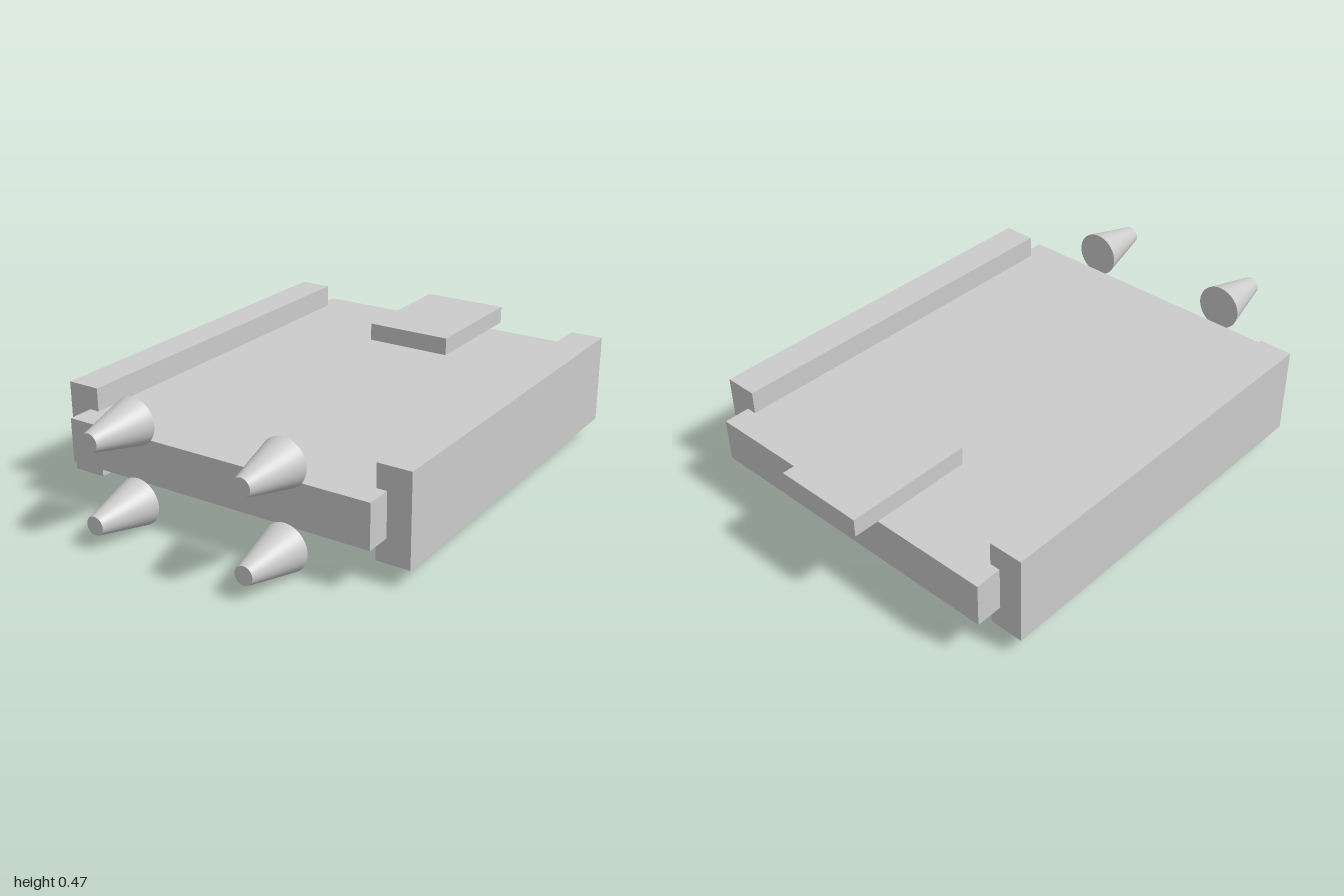
import * as THREE from 'three';

export function createModel() {
  const model = new THREE.Group();
  const material = new THREE.MeshStandardMaterial({ color: 0xcccccc });

  // Box given by its extents along each axis
  function addBox(name, [x0, x1], [y0, y1], [z0, z1]) {
    const mesh = new THREE.Mesh(new THREE.BoxGeometry(x1 - x0, y1 - y0, z1 - z0), material);
    mesh.position.set((x0 + x1) / 2, (y0 + y1) / 2, (z0 + z1) / 2);
    mesh.name = name;
    model.add(mesh);
  }

  // Main slab and the raised plate overhanging its back edge
  addBox('bodySlab', [-0.612, 0.612], [0.157, 0.321], [-0.904, 0.765]);
  addBox('rearPlate', [-0.172, 0.172], [0.321, 0.39], [-1, -0.514]);

  // Side rails
  addBox('leftRail', [0.573, 0.7], [0.069, 0.408], [-0.805, 0.667]);
  addBox('rightRail', [-0.7, -0.573], [0.069, 0.408], [-0.805, 0.667]);

  // Four tapered nozzles, narrow end to the front
  const nozzle = new THREE.CylinderGeometry(0.034, 0.0875, 0.22, 48).rotateX(Math.PI / 2);
  for (const [side, x] of [['left', 0.304], ['right', -0.304]]) {
    for (const [level, y] of [['Upper', 0.385], ['Lower', 0.0875]]) {
      const mesh = new THREE.Mesh(nozzle, material);
      mesh.position.set(x, y, 0.89);
      mesh.name = `${side}${level}Nozzle`;
      model.add(mesh);
    }
  }

  return model;
}
